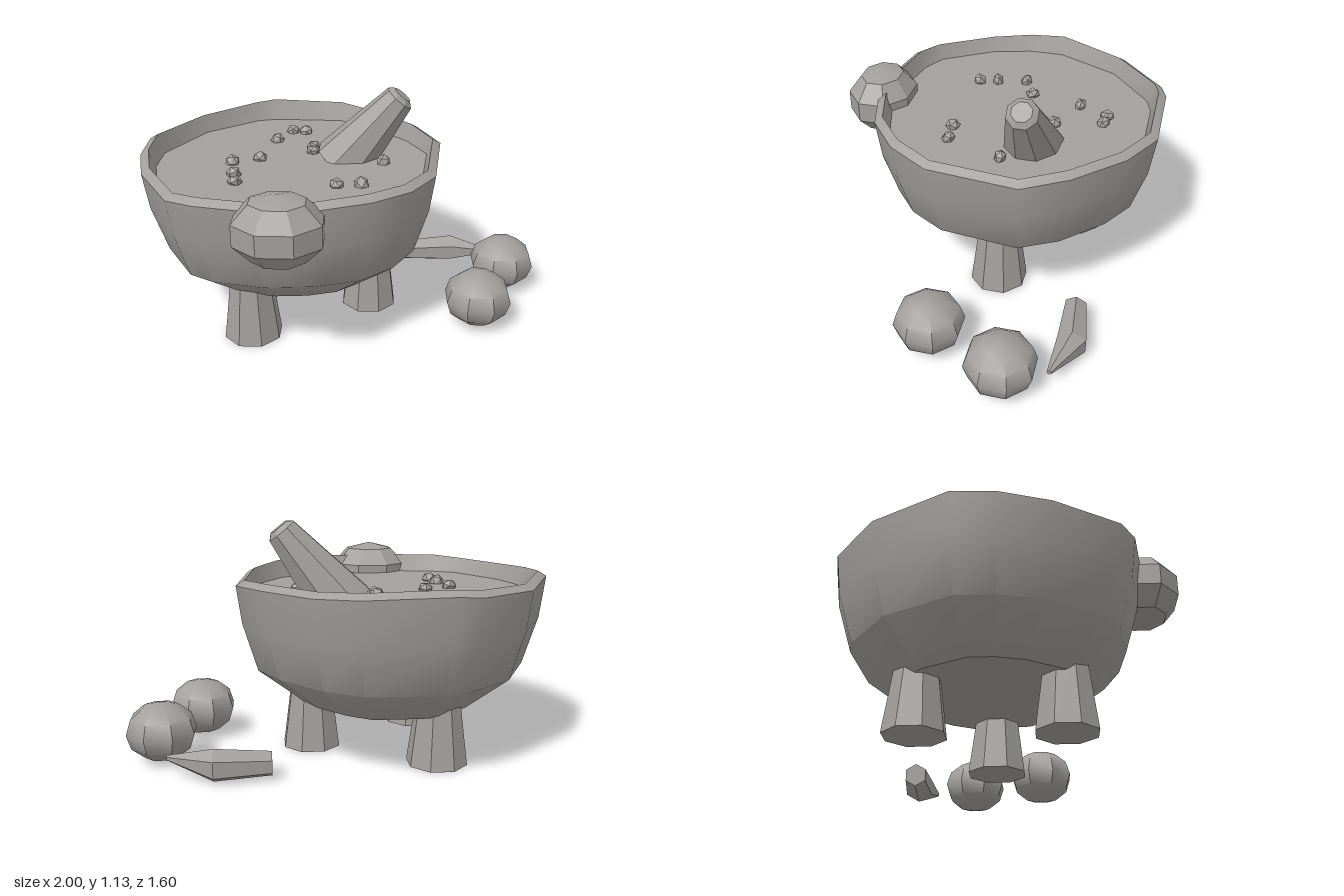
import * as THREE from 'three';
import { toCreasedNormals } from 'three/addons/utils/BufferGeometryUtils.js';

// Skins a list of equal-length rings of Vector3, dropping collapsed triangles.
function loft(rings, crease) {
  const pos = [];
  const tri = (a, b, c) => {
    const area = b.clone().sub(a).cross(c.clone().sub(a)).length();
    if (area > 1e-7) for (const p of [a, b, c]) pos.push(p.x, p.y, p.z);
  };
  for (let r = 0; r < rings.length - 1; r++) {
    const lo = rings[r], hi = rings[r + 1], n = lo.length;
    for (let i = 0; i < n; i++) {
      const j = (i + 1) % n;
      tri(lo[i], hi[i], lo[j]);
      tri(lo[j], hi[i], hi[j]);
    }
  }
  const g = new THREE.BufferGeometry();
  g.setAttribute('position', new THREE.Float32BufferAttribute(pos, 3));
  return toCreasedNormals(g, crease);
}

export function createModel() {
  const model = new THREE.Group();
  const stone = new THREE.MeshStandardMaterial({ color: 0xa29f9c });
  stone.name = 'stone grey';

  const add = (name, geometry, x = 0, y = 0, z = 0) => {
    const mesh = new THREE.Mesh(geometry, stone);
    mesh.name = name;
    mesh.position.set(x, y, z);
    model.add(mesh);
    return mesh;
  };

  // Hand-cut bowl outline (x, z, rim height), running from +x towards +z
  const cx = -0.26, cz = -0.08;
  const outline = [
    [0.48, -0.24, 0.83], [0.43, 0.2, 0.83], [0.31, 0.4, 0.84], [0.14, 0.54, 0.85],
    [-0.1, 0.61, 0.84], [-0.36, 0.63, 0.84], [-0.63, 0.58, 0.84], [-0.76, 0.51, 0.83],
    [-0.94, 0.22, 0.83], [-1.0, 0.0, 0.84], [-1.0, -0.2, 0.85], [-0.82, -0.55, 0.84],
    [-0.54, -0.77, 0.85], [-0.43, -0.8, 0.86], [-0.03, -0.79, 0.85], [0.16, -0.67, 0.84],
    [0.37, -0.45, 0.84],
  ];
  const ring = (scale, height) => outline.map(([x, z, rim]) =>
    new THREE.Vector3(cx + (x - cx) * scale, height(rim), cz + (z - cz) * scale));

  add('bowl', loft([
    ring(0, () => 0.25), ring(0.58, () => 0.25), ring(0.87, () => 0.42),
    ring(0.965, () => 0.65), ring(1, rim => rim), ring(0.945, rim => rim + 0.025),
    ring(0.9, () => 0.76),
  ], 0.62));
  add('bowlContents', loft([ring(0.91, () => 0.775), ring(0, () => 0.775)], 0.5));

  // Three tapered feet
  [['frontLeg', -0.445, 0.26], ['backLeg', -0.445, -0.39], ['sideLeg', 0.125, -0.075]]
    .forEach(([name, x, z]) => {
      const g = new THREE.CylinderGeometry(0.1, 0.145, 0.34, 8);
      g.rotateY(Math.PI / 8);
      add(name, toCreasedNormals(g, 0.4), x, 0.17, z);
    });

  // Faceted knob on the front of the rim
  const knob = new THREE.SphereGeometry(1, 8, 5);
  knob.rotateY(Math.PI / 8);
  knob.scale(0.218, 0.165, 0.18);
  add('frontKnob', toCreasedNormals(knob, 0.5), -0.255, 0.765, 0.64);

  // Two round fruits beside the bowl
  [[0.675, 0.13], [0.843, -0.25]].forEach(([x, z], i) => {
    const g = new THREE.SphereGeometry(1, 8, 6);
    g.rotateY(Math.PI / 8);
    g.scale(0.17, 0.14, 0.17);
    add('fruit' + (i + 1), toCreasedNormals(g, 0.75), x, 0.148, z);
  });

  // Bent pepper: x, y, z, radius
  const pepper = [
    [0.33, 0.068, -0.51, 0], [0.33, 0.068, -0.51, 0.058], [0.59, 0.075, -0.53, 0.077],
    [0.8, 0.092, -0.463, 0.012], [0.8, 0.092, -0.463, 0],
  ].map(([x, y, z, r]) => Array.from({ length: 6 }, (_, i) => {
    const a = i * Math.PI / 3;
    return new THREE.Vector3(x, y + r * Math.cos(a), z - r * Math.sin(a));
  }));
  add('pepper', loft(pepper, 0.3));

  // Leaning pestle
  const pestleProfile = [[0, 0], [0.155, 0], [0.077, 0.46], [0.05, 0.482], [0, 0.482]]
    .map(p => new THREE.Vector2(...p));
  const pestle = add('pestle',
    toCreasedNormals(new THREE.LatheGeometry(pestleProfile, 8, Math.PI / 8), 0.4),
    -0.025, 0.72, -0.21);
  pestle.quaternion.setFromUnitVectors(
    new THREE.Vector3(0, 1, 0), new THREE.Vector3(0.63, 0.775, 0.01).normalize());

  // Chopped bits lying on the contents
  [
    [-0.3, -0.525], [-0.23, -0.515], [-0.37, -0.38], [-0.17, -0.285], [-0.17, -0.225],
    [-0.43, -0.12], [-0.56, -0.06], [-0.53, 0.09], [-0.51, 0.185], [-0.03, 0.2],
    [0.085, 0.19], [0.19, -0.09],
  ].forEach(([x, z], i) => {
    const g = toCreasedNormals(new THREE.IcosahedronGeometry(0.038, 0), 0.3);
    const bit = add('choppedBit' + (i + 1), g, x, 0.785, z);
    bit.rotation.set(i * 0.7, i * 1.9, 0);
    bit.scale.y = 0.8;
  });

  return model;
}
